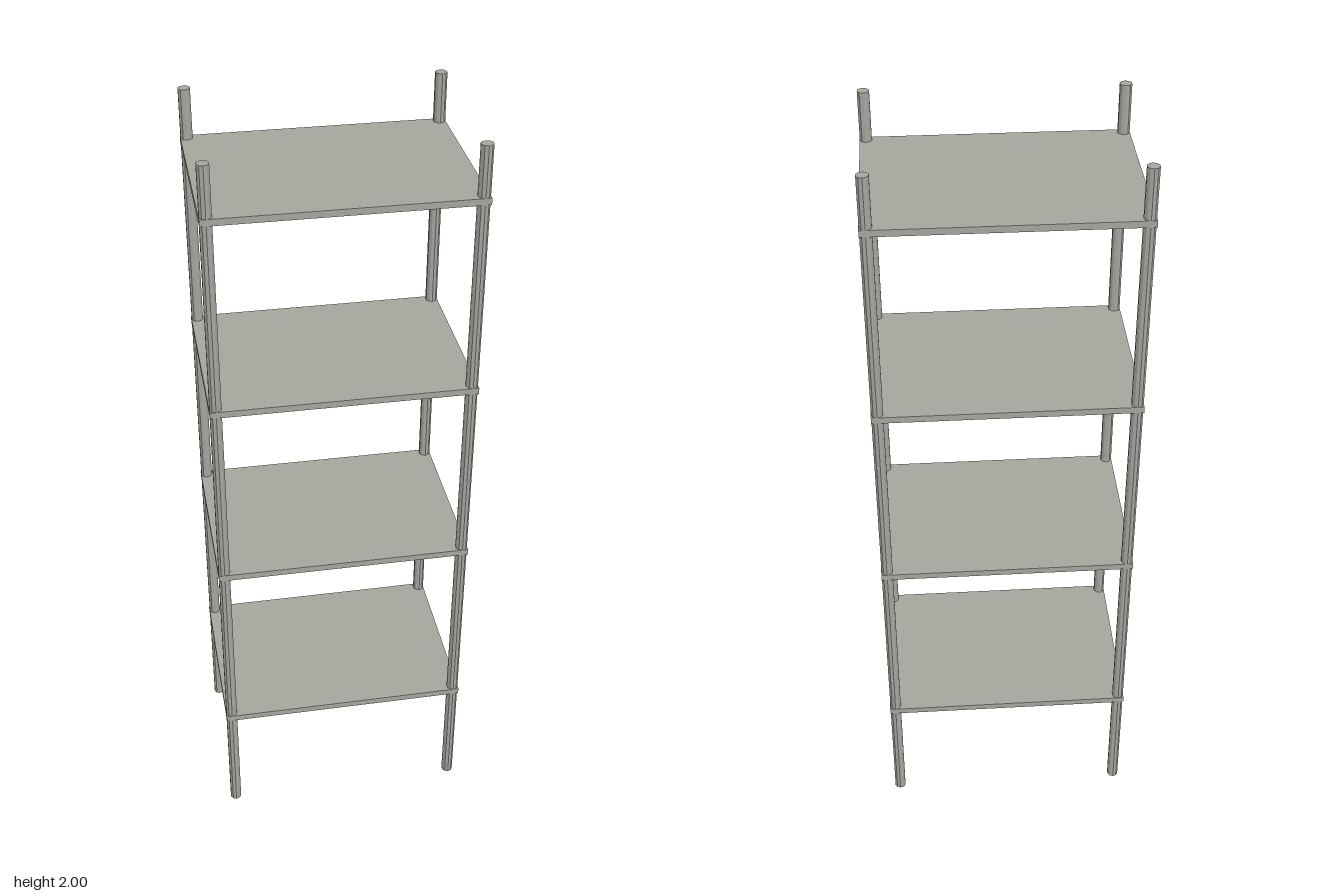
import * as THREE from 'three';

const WIDTH = 0.67, DEPTH = 0.48, HEIGHT = 2;
const POST_RADIUS = 0.0155, SHELF_THICKNESS = 0.017;
const SHELF_HEIGHTS = [0.33, 0.842, 1.353, 1.864];

export function createModel() {
  const model = new THREE.Group();
  model.name = 'shelvingUnit';
  const material = new THREE.MeshStandardMaterial({ color: 0xa7a59e, flatShading: true });

  const add = (name, geometry, x, y, z) => {
    const mesh = new THREE.Mesh(geometry, material);
    mesh.name = name;
    mesh.position.set(x, y, z);
    model.add(mesh);
  };

  // Four faceted corner posts, flush with the shelf edges
  const post = new THREE.CylinderGeometry(POST_RADIUS, POST_RADIUS, HEIGHT, 10);
  for (const sx of [-1, 1]) {
    for (const sz of [-1, 1]) {
      const name = (sz > 0 ? 'front' : 'back') + (sx > 0 ? 'Left' : 'Right') + 'Post';
      add(name, post,
        sx * (WIDTH / 2 - POST_RADIUS), HEIGHT / 2, sz * (DEPTH / 2 - POST_RADIUS));
    }
  }

  // Evenly spaced thin shelves
  const shelf = new THREE.BoxGeometry(WIDTH, SHELF_THICKNESS, DEPTH);
  SHELF_HEIGHTS.forEach((y, i) => add(`shelf${i + 1}`, shelf, 0, y, 0));

  return model;
}
